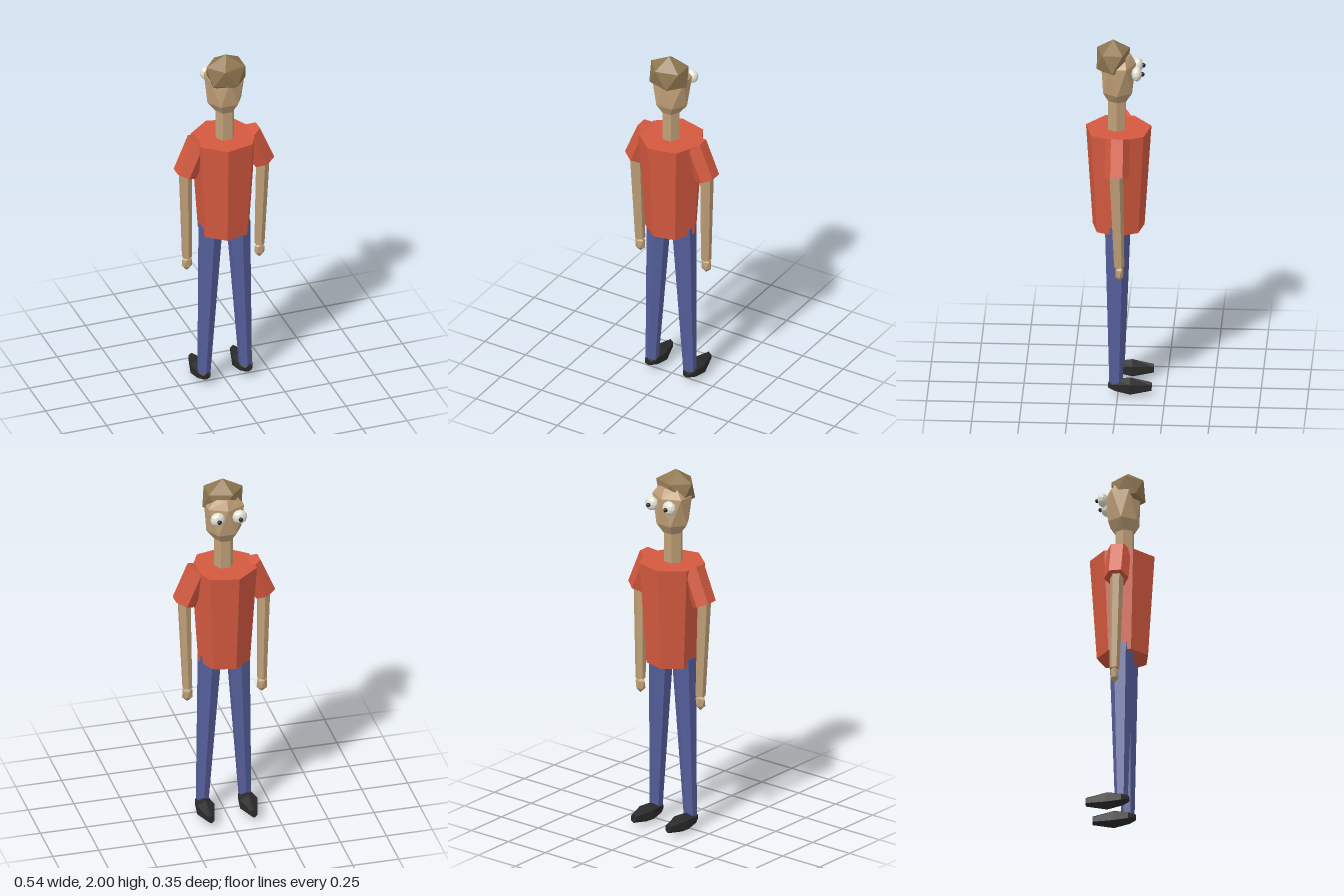
import * as THREE from 'three';

const mat = (color) => new THREE.MeshStandardMaterial({ color, flatShading: true });
const UP = new THREE.Vector3(0, 1, 0);

export function createModel() {
  const model = new THREE.Group();
  const skin = mat(0xc0a078), hair = mat(0x8f7650), shirt = mat(0xd4593f);
  const denim = mat(0x565f9c), leather = mat(0x2b2a2b), white = mat(0xe6e2d6), black = mat(0x222222);

  const add = (name, geometry, material, x = 0, y = 0, z = 0) => {
    const mesh = new THREE.Mesh(geometry, material);
    mesh.name = name;
    mesh.position.set(x, y, z);
    model.add(mesh);
    return mesh;
  };

  // Tapered prism between two points
  const limb = (name, material, from, to, r0, r1, sides = 6, turn = 0) => {
    const a = new THREE.Vector3(...from), b = new THREE.Vector3(...to);
    const dir = b.clone().sub(a);
    const mesh = add(name, new THREE.CylinderGeometry(r1, r0, dir.length(), sides, 1, false, turn), material);
    mesh.position.copy(a).add(b).multiplyScalar(0.5);
    mesh.quaternion.setFromUnitVectors(UP, dir.normalize());
    return mesh;
  };

  // Faceted solid from rows of [y, radiusX, radiusZ, centreZ, twist], bottom to top
  const loft = (rows, sides = 6) => {
    const geo = new THREE.CylinderGeometry(1, 1, 1, sides, rows.length - 1);
    const p = geo.attributes.position;
    for (let i = 0; i < p.count; i++) {
      const [y, rx, rz, cz = 0, twist = 0] = rows[Math.round((p.getY(i) + 0.5) * (rows.length - 1))];
      const r = Math.hypot(p.getX(i), p.getZ(i));
      const t = Math.atan2(p.getX(i), p.getZ(i)) + twist;
      p.setXYZ(i, Math.sin(t) * r * rx, y, Math.cos(t) * r * rz + cz);
    }
    geo.computeVertexNormals();
    return geo;
  };

  // Icosahedron standing on a corner
  const gem = (rx, ry, rz, detail = 0) =>
    new THREE.IcosahedronGeometry(1, detail).rotateZ(0.5536).scale(rx, ry, rz);

  // Shirt body and neck
  limb('torso', shirt, [0, 0.925, 0.003], [0, 1.49, 0.003], 0.14, 0.177, 7, Math.PI / 2);
  limb('neck', skin, [0, 1.46, 0.01], [0, 1.69, 0.01], 0.052, 0.052, 6, Math.PI / 6);

  // Head and hair
  const half = Math.PI / 6;
  add('head', loft([
    [1.655, 0.052, 0.055, 0.008, half],
    [1.71, 0.095, 0.088, 0.005, half],
    [1.865, 0.112, 0.092, 0.002, 0],
    [1.915, 0.07, 0.065, 0.0, 0],
  ]), skin);
  add('hair', gem(0.123, 0.108, 0.101), hair, 0, 1.892, 0.03);

  // Paired parts; the figure looks toward -z, so its own left is -x
  for (const s of [-1, 1]) {
    const side = s < 0 ? 'left' : 'right';
    add(side + 'Eye', gem(0.04, 0.04, 0.028, 1), white, s * 0.06, 1.83, -0.097);
    add(side + 'Pupil', gem(0.012, 0.012, 0.012, 1), black, s * 0.058, 1.828, -0.126);

    limb(side + 'Sleeve', shirt, [s * 0.2185, 1.298, 0], [s * 0.1385, 1.488, 0], 0.065, 0.065);
    limb(side + 'Arm', skin, [s * 0.203, 0.78, -0.012], [s * 0.217, 1.32, 0.003], 0.027, 0.036);
    add(side + 'Hand', gem(0.032, 0.047, 0.024), skin, s * 0.203, 0.745, -0.013);

    limb(side + 'Leg', denim, [s * 0.116, 0.07, 0.01], [s * 0.077, 0.965, 0.005], 0.035, 0.065);

    // Shoe: rows run from heel to toe, then tip over to point forward
    add(side + 'Shoe', loft([
      [-0.05, 0.022, 0.017, 0.06],
      [-0.015, 0.042, 0.034, 0.058],
      [0.065, 0.054, 0.05, 0.055],
      [0.178, 0.019, 0.025, 0.055],
    ]).rotateX(-Math.PI / 2), leather, s * 0.117, 0, 0);
  }
  return model;
}
